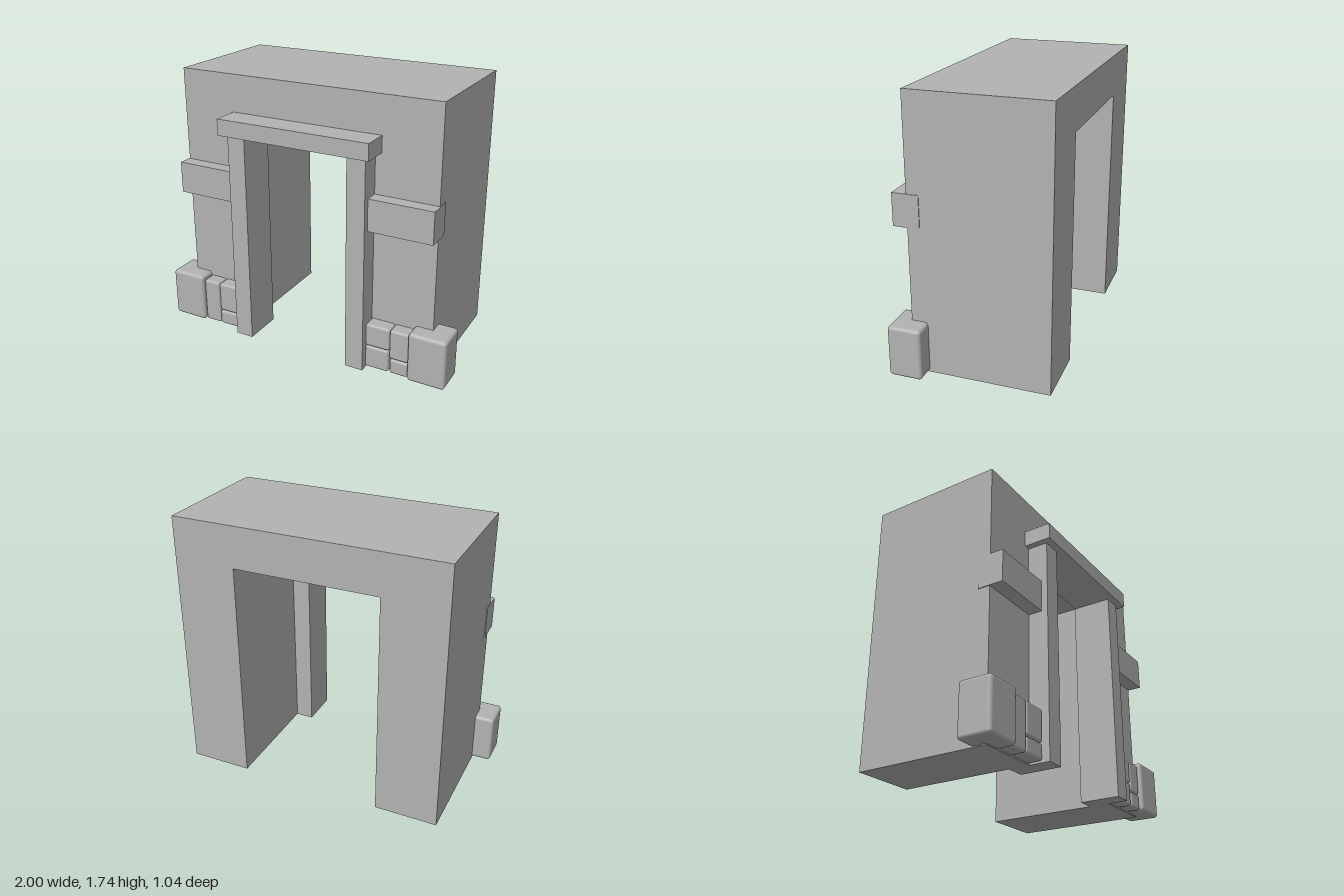
import * as THREE from 'three';
import { RoundedBoxGeometry } from 'three/addons/geometries/RoundedBoxGeometry.js';

export function createModel() {
  const group = new THREE.Group();
  group.name = 'stoneGateway';
  const stone = new THREE.MeshStandardMaterial({ color: 0xb2b2b2 });
  stone.name = 'greyStone';

  function add(name, geometry) {
    const mesh = new THREE.Mesh(geometry, stone);
    mesh.name = name;
    group.add(mesh);
    return mesh;
  }

  // Block given by its minimum and maximum corners; a radius rounds its edges
  function block(name, x0, x1, y0, y1, z0, z1, radius = 0) {
    const size = [x1 - x0, y1 - y0, z1 - z0];
    const geometry = radius
      ? new RoundedBoxGeometry(...size, 3, radius)
      : new THREE.BoxGeometry(...size);
    add(name, geometry).position.set((x0 + x1) / 2, (y0 + y1) / 2, (z0 + z1) / 2);
  }

  // Deep wall with a passage through it
  const outline = [
    [-0.877, 0], [-0.47, 0], [-0.47, 1.47], [0.47, 1.47],
    [0.47, 0], [0.877, 0], [0.877, 1.74], [-0.877, 1.74],
  ].map(([x, y]) => new THREE.Vector2(x, y));
  const wall = new THREE.ExtrudeGeometry(new THREE.Shape(outline), { depth: 0.87, bevelEnabled: false });
  add('wall', wall).position.z = -0.522;

  // Door frame
  block('lintel', -0.51, 0.51, 1.395, 1.5, 0.22, 0.522);

  for (const [side, label] of [[1, 'left'], [-1, 'right']]) {
    const mirrored = (name, a, b, ...rest) =>
      block(label + name, Math.min(a * side, b * side), Math.max(a * side, b * side), ...rest);
    mirrored('DoorPost', 0.35, 0.47, 0, 1.4, 0.215, 0.478);
    mirrored('WallBand', 0.468, 0.882, 0.932, 1.137, 0.27, 0.437);
    mirrored('CornerStone', 0.757, 1, 0.006, 0.335, 0.243, 0.455, 0.022);
  }

  // Small footing stones: x0, x1, y0, y1
  const stones = [
    [0.467, 0.63, 0.16, 0.31],
    [0.467, 0.625, 0.008, 0.157],
    [0.63, 0.756, 0.11, 0.31],
    [0.634, 0.754, 0.008, 0.107],
    [-0.756, -0.636, 0.008, 0.31],
    [-0.635, -0.472, 0.11, 0.31],
    [-0.635, -0.472, 0.008, 0.107],
  ];
  stones.forEach((s, i) => block('footingStone' + (i + 1), ...s, 0.27, 0.435, 0.016));

  return group;
}
